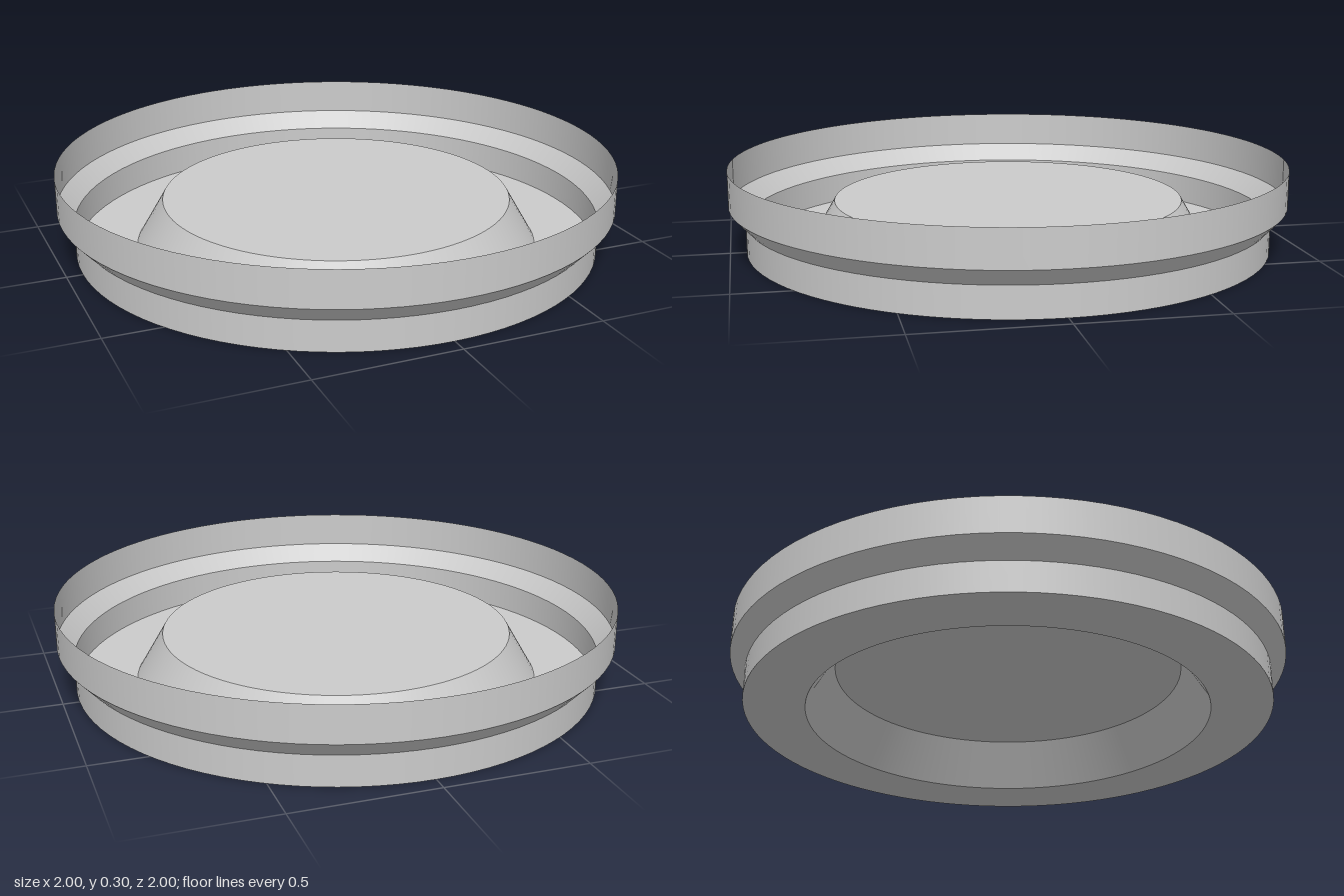
import * as THREE from 'three';

const SEGMENTS = 96;

export function createModel() {
  const group = new THREE.Group();
  const material = new THREE.MeshStandardMaterial({ color: 0xcccccc, side: THREE.DoubleSide });

  // Each band is its own lathe, so the edges between bands stay sharp.
  function addBand(name, r0, y0, r1, y1) {
    const profile = [new THREE.Vector2(r0, y0), new THREE.Vector2(r1, y1)];
    const mesh = new THREE.Mesh(new THREE.LatheGeometry(profile, SEGMENTS), material);
    mesh.name = name;
    group.add(mesh);
  }

  // Thin sheet profile, from the centre outward and up to the open rim
  addBand('raisedCentre', 0, 0.165, 0.628, 0.165);
  addBand('centreSlope', 0.628, 0.165, 0.725, 0);
  addBand('floorRing', 0.725, 0, 0.943, 0);
  addBand('lowerWall', 0.943, 0, 0.943, 0.108);
  addBand('flare', 0.943, 0.108, 1, 0.17);
  addBand('upperWall', 1, 0.17, 1, 0.3);

  return group;
}
